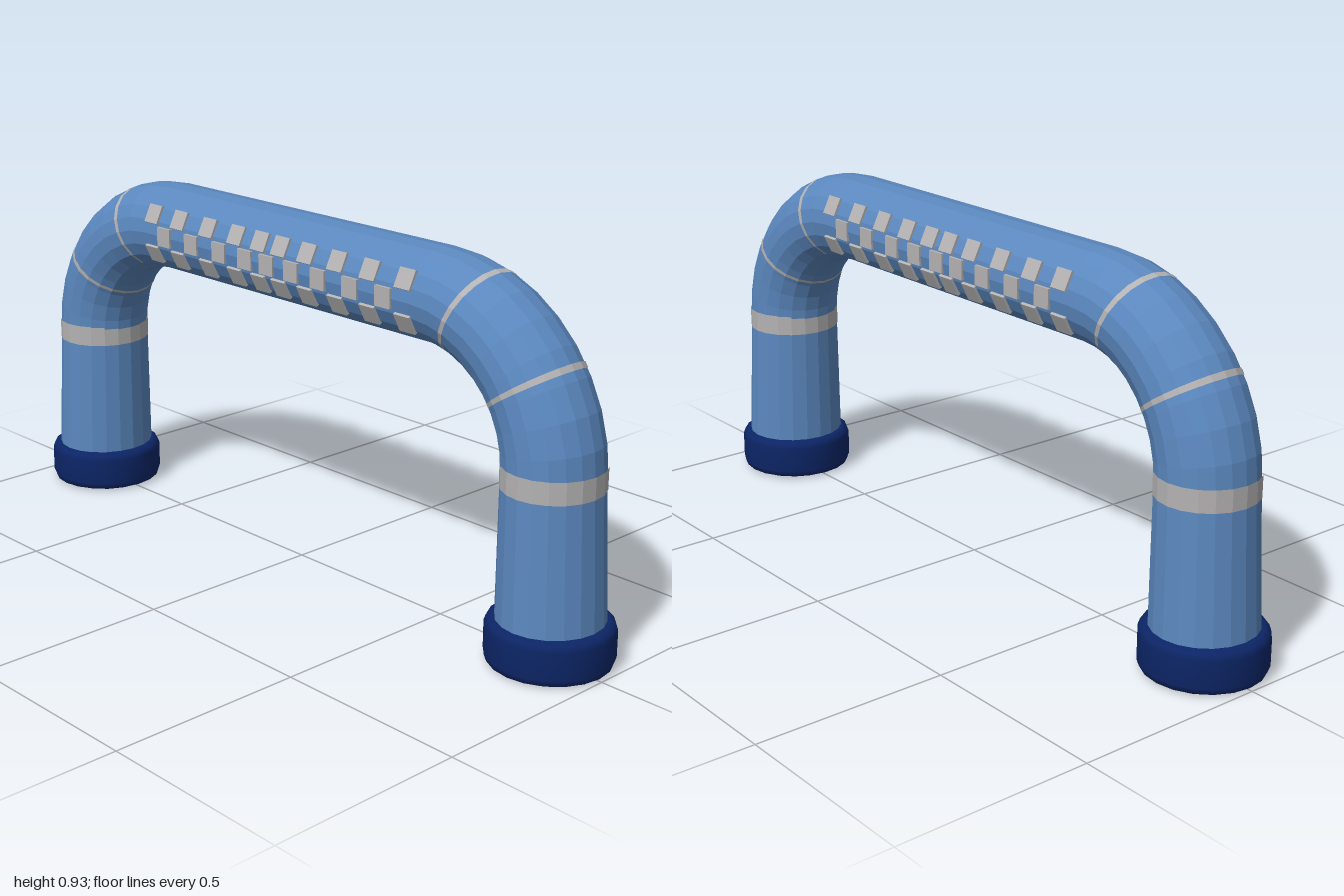
import * as THREE from 'three';

const SIDES = 20;
const BEND = { z: 0.485, y: 0.46, r: 0.35 };

const mat = (name, color) => {
  const m = new THREE.MeshStandardMaterial({ color });
  m.name = name;
  return m;
};

// A station is a cross-section: centre (z, y), outward tilt in degrees from vertical, radius
const station = (z, y, tilt, r) => ({ z, y, tilt, r });
const bendStation = (deg, r, tilt = deg) => {
  const a = THREE.MathUtils.degToRad(deg);
  return station(BEND.z + BEND.r * Math.sin(a), BEND.y + BEND.r * Math.cos(a), tilt, r);
};
const mirrored = (list) => list.map((s) => station(-s.z, s.y, -s.tilt, s.r)).reverse();

// Faceted skin through a row of stations
function loft(stations) {
  const pos = [], index = [];
  for (const s of stations) {
    const a = THREE.MathUtils.degToRad(s.tilt);
    for (let j = 0; j < SIDES; j++) {
      const t = (j / SIDES) * Math.PI * 2;
      const n = Math.sin(t) * s.r;
      pos.push(Math.cos(t) * s.r * 1.04, s.y + n * Math.cos(a), s.z + n * Math.sin(a));
    }
  }
  for (let i = 0; i < stations.length - 1; i++) {
    for (let j = 0; j < SIDES; j++) {
      const k = (j + 1) % SIDES;
      const a = i * SIDES + j, b = i * SIDES + k, c = a + SIDES, d = b + SIDES;
      index.push(a, c, b, b, c, d);
    }
  }
  const g = new THREE.BufferGeometry();
  g.setAttribute('position', new THREE.Float32BufferAttribute(pos, 3));
  g.setIndex(index);
  const flat = g.toNonIndexed();
  flat.computeVertexNormals();
  return flat;
}

export function createModel() {
  const group = new THREE.Group();
  const blue = mat('tubeBlue', 0x5b88bf);
  const grey = mat('stripeGrey', 0xb4b2b2);
  const navy = mat('footNavy', 0x0c2566);

  const add = (name, geometry, material, parent = group) => {
    const m = new THREE.Mesh(geometry, material);
    m.name = name;
    parent.add(m);
    return m;
  };

  // Bent tube: flared leg, bend, straight top, then mirrored
  const half = [station(0.846, 0.06, 90, 0.13), station(0.835, 0.43, 90, 0.12)];
  for (let i = 0; i <= 9; i++) half.push(bendStation(90 - i * 10, 0.12 - i * 0.0005));
  add('archTube', loft([...half, ...mirrored(half)]), blue);

  // Wide leg bands and thin bend stripes on both ends
  const bands = {
    legBand: [station(0.835, 0.43, 90, 0.1212), station(0.835, 0.485, 90, 0.1212)],
    lowerBendStripe: [bendStation(57.2, 0.1195), bendStation(55.2, 0.1195)],
    upperBendStripe: [bendStation(19.8, 0.1178, 27), bendStation(17.8, 0.1178, 25)],
  };
  for (const [name, list] of Object.entries(bands)) {
    add(name + 'Front', loft(list), grey);
    add(name + 'Back', loft(mirrored(list)), grey);
  }

  // Rounded feet
  const profile = [
    [0, 0], [0.135, 0], [0.149, 0.006], [0.155, 0.022], [0.155, 0.09],
    [0.15, 0.104], [0.138, 0.111], [0.11, 0.111],
  ].map(([x, y]) => new THREE.Vector2(x, y));
  for (const s of [1, -1]) {
    const foot = add(s > 0 ? 'frontFoot' : 'backFoot', new THREE.LatheGeometry(profile, SIDES), navy);
    foot.position.z = s * 0.845;
  }

  // Staggered grip tiles on both sides of the straight top
  const outer = [0.465, 0.35, 0.24, 0.135, 0.04, -0.035, -0.125, -0.235, -0.35, -0.455];
  const middle = [0.405, 0.295, 0.185, 0.09, 0, -0.08, -0.18, -0.29, -0.4];
  const rows = [[26, outer], [0, middle], [-27, outer]];
  const tile = new THREE.BoxGeometry(0.012, 0.05, 0.05);
  for (const side of [1, -1]) {
    const grip = new THREE.Group();
    grip.name = side > 0 ? 'leftGripTiles' : 'rightGripTiles';
    group.add(grip);
    for (const [deg, zs] of rows) {
      const a = THREE.MathUtils.degToRad(deg);
      for (const z of zs) {
        const t = add('gripTile', tile, grey, grip);
        t.position.set(side * Math.cos(a) * 0.118, 0.81 + Math.sin(a) * 0.117, z);
        t.rotation.z = side * a;
      }
    }
  }
  return group;
}
